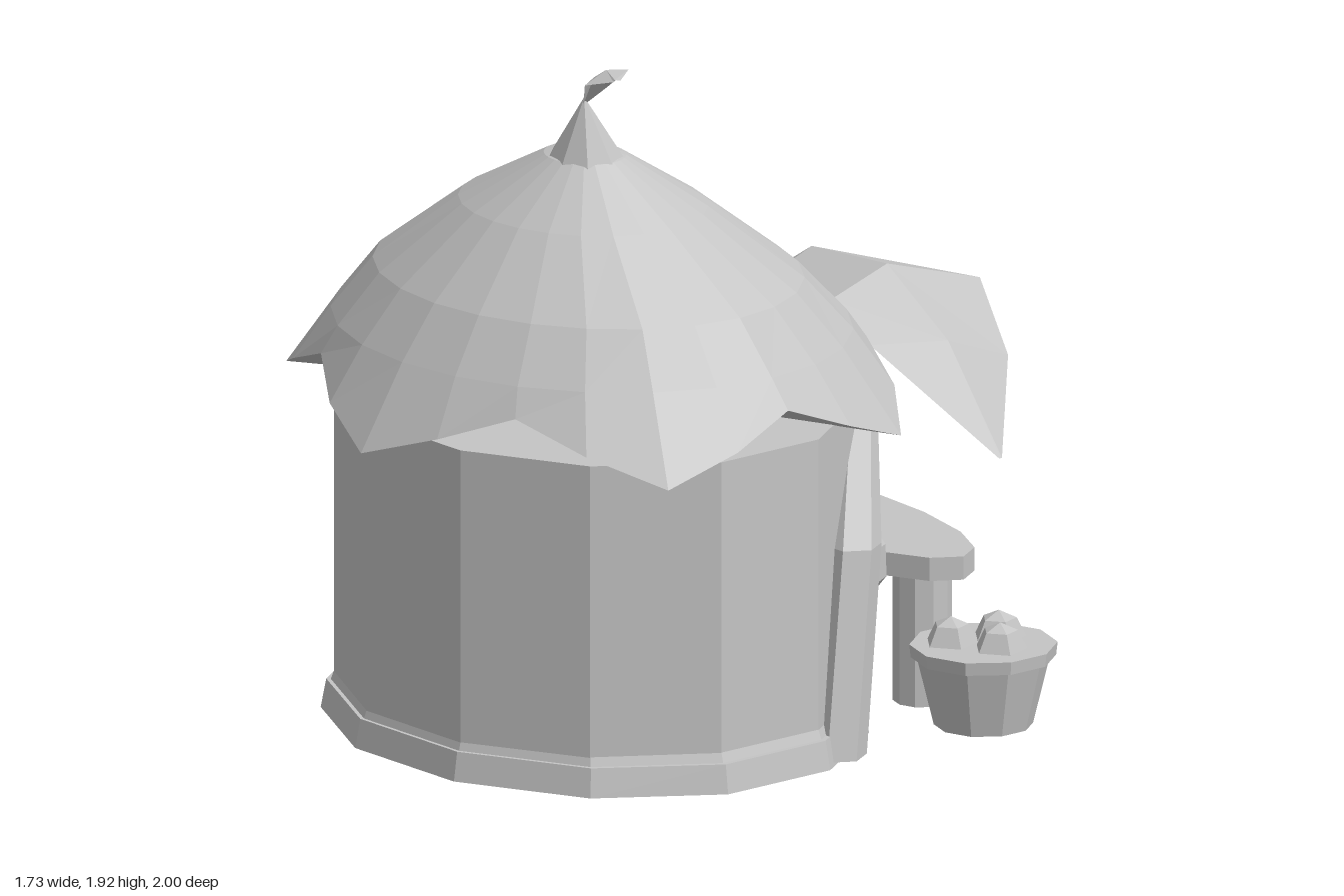
import * as THREE from 'three';

const stone = new THREE.MeshStandardMaterial({ color: 0xc4c4c4, flatShading: true, side: THREE.DoubleSide });
stone.name = 'plain grey';

function add(parent, name, geometry, x = 0, y = 0, z = 0) {
  const mesh = new THREE.Mesh(geometry, stone);
  mesh.name = name;
  mesh.position.set(x, y, z);
  parent.add(mesh);
  return mesh;
}

// Skin over rows of points; closed rows wrap around
function skin(rows, closed) {
  const n = rows[0].length, index = [];
  for (let r = 0; r < rows.length - 1; r++) {
    for (let i = 0; i < (closed ? n : n - 1); i++) {
      const j = (i + 1) % n, a = r * n + i, b = r * n + j;
      index.push(a, a + n, b, b, a + n, b + n);
    }
  }
  const g = new THREE.BufferGeometry();
  g.setAttribute('position', new THREE.Float32BufferAttribute(rows.flat(2), 3));
  g.setIndex(index);
  g.computeVertexNormals();
  return g;
}

// Horizontal ellipse of points, first point turned by `turn`
function ring(n, cx, y, cz, rx, rz, turn = 0) {
  return Array.from({ length: n }, (_, i) => {
    const a = turn + (i / n) * Math.PI * 2;
    return [cx + rx * Math.cos(a), y, cz + rz * Math.sin(a)];
  });
}

// Bent, tapering hexagonal post through [x, y, z, radius] points
function post(parent, name, points) {
  const ends = [points[0], points[points.length - 1]].map(([x, y, z]) => ring(6, x, y, z, 0, 0));
  const rows = points.map(([x, y, z, r]) => ring(6, x, y, z, r, r));
  add(parent, name, skin([ends[0], ...rows, ends[1]], true));
}

// Tapered basket with a rim and three faceted fruits
function basket(parent, name, x, y, z, r, height, fruits) {
  const g = new THREE.Group();
  g.name = name;
  g.position.set(x, y, z);
  const rim = height * 0.16;
  add(g, 'basketBody', new THREE.CylinderGeometry(r * 0.9, r * 0.67, height - rim, 10), 0, (height - rim) / 2, 0);
  add(g, 'basketRim', new THREE.CylinderGeometry(r, r * 0.98, rim, 10), 0, height - rim / 2, 0);
  const s = r * 0.37;
  for (const [fx, fz] of fruits) {
    add(g, 'fruit', new THREE.CylinderGeometry(s * 0.65, s, s * 0.7, 5), fx * r, height + s * 0.35, fz * r);
    add(g, 'fruitTop', new THREE.ConeGeometry(s * 0.65, s * 0.3, 5), fx * r, height + s * 0.85, fz * r);
  }
  parent.add(g);
}

// Pointed-arch panel for the door and its frame
function arch(half, shoulder, apex, depth) {
  const s = new THREE.Shape();
  const kneeY = shoulder + (apex - shoulder) * 0.55;
  s.moveTo(-half, 0);
  s.lineTo(half, 0);
  s.lineTo(half, shoulder);
  s.lineTo(half * 0.6, kneeY);
  s.lineTo(0, apex);
  s.lineTo(-half * 0.6, kneeY);
  s.lineTo(-half, shoulder);
  return new THREE.ExtrudeGeometry(s, { depth, bevelEnabled: false });
}

export function createModel() {
  const model = new THREE.Group();
  model.name = 'thatchedHut';
  const CX = -0.025, CZ = 0.185, turn = Math.PI / 12;

  // Twelve-sided wall with a flat lid, and a flared base hollow underneath
  add(model, 'wall', skin([
    ring(12, CX, 0.02, CZ, 0.76, 0.658, turn),
    ring(12, CX, 0.92, CZ, 0.76, 0.658, turn),
    ring(12, CX, 0.92, CZ, 0, 0, turn),
  ], true));
  add(model, 'base', skin([
    ring(12, CX, 0.12, CZ, 0, 0, turn),
    ring(12, CX, 0.12, CZ, 0.755, 0.652, turn),
    ring(12, CX, 0, CZ, 0.8, 0.69, turn),
    ring(12, CX, 0.08, CZ, 0.785, 0.675, turn),
    ring(12, CX, 0.08, CZ, 0.75, 0.65, turn),
  ], true));

  // Roof with six drooping points on its rim and a leaning peak
  const rim = ring(24, 0, 0, 0, 1, 1, Math.PI / 2).map(([x, , z], i) => {
    const k = Math.abs(((i + 2) % 4) - 2) / 2; // 0 at a point, 1 in a notch
    return [-0.03 + x * (0.925 - 0.11 * k), 0.9 + 0.15 * k, 0.185 + z * (0.815 - 0.105 * k)];
  });
  const level = (...a) => ring(24, ...a, Math.PI / 2);
  add(model, 'roof', skin([
    rim,
    level(-0.025, 1.13, 0.195, 0.755, 0.665),
    level(-0.01, 1.28, 0.22, 0.635, 0.54),
    level(0.015, 1.48, 0.26, 0.365, 0.315),
    level(0.065, 1.63, 0.295, 0.12, 0.105),
    level(0.09, 1.66, 0.31, 0, 0),
  ], true));
  // Underside folds from the rim straight to the middle
  add(model, 'roofUnderside', skin([level(-0.03, 0.925, 0.185, 0, 0), rim], true));
  add(model, 'peakCap', skin([
    ring(9, 0.075, 1.6, 0.298, 0.125, 0.115),
    ring(9, 0.11, 1.8, 0.335, 0.003, 0.003),
  ], true));

  // Curled leaf on the peak
  add(model, 'peakLeaf', skin([
    [[0.11, 1.785, 0.34], [0.11, 1.79, 0.335], [0.11, 1.785, 0.33]],
    [[0.2, 1.85, 0.41], [0.18, 1.88, 0.36], [0.17, 1.84, 0.305]],
    [[0.25, 1.89, 0.45], [0.25, 1.92, 0.375], [0.26, 1.91, 0.305]],
    [[0.34, 1.915, 0.425], [0.34, 1.92, 0.42], [0.34, 1.915, 0.4]],
  ], false));

  // Leaf awning over the counter
  add(model, 'leafAwning', skin([
    [[-0.42, 0.96, -0.67], [-0.42, 0.96, -0.665], [-0.42, 0.96, -0.66]],
    [[-0.16, 1.05, -0.88], [-0.14, 1.14, -0.67], [-0.15, 1.06, -0.48]],
    [[0.17, 1.06, -1], [0.17, 1.16, -0.675], [0.18, 1.1, -0.47]],
    [[0.42, 0.92, -0.89], [0.42, 1.0, -0.68], [0.32, 1.0, -0.49]],
    [[0.64, 0.72, -0.685], [0.64, 0.72, -0.68], [0.64, 0.72, -0.675]],
  ], false));

  // Leaning posts, a pair on the wall and one under the awning
  for (const s of [-1, 1]) {
    post(model, s < 0 ? 'rightWallPost' : 'leftWallPost', [
      [CX + s * 0.7, 0.01, -0.08, 0.08],
      [CX + s * 0.645, 0.57, -0.18, 0.078],
      [CX + s * 0.465, 0.95, -0.35, 0.05],
    ]);
    // Hanging lanterns
    const x = CX + s * 0.595;
    add(model, 'lantern', skin([
      [0.41, 0], [0.41, 0.025], [0.45, 0.058], [0.54, 0.055], [0.57, 0.035], [0.62, 0.028], [0.62, 0],
    ].map(([y, r]) => ring(6, x, y, -0.265, r, r)), true));
  }
  post(model, 'awningPost', [
    [-0.775, 0, -0.6, 0.065], [-0.76, 0.64, -0.605, 0.07], [-0.44, 0.96, -0.68, 0.06],
  ]);

  // Counter on two round legs
  const top = add(model, 'counterTop', new THREE.CylinderGeometry(1, 1, 0.065, 16), -0.09, 0.4, -0.63);
  top.scale.set(0.635, 1, 0.205);
  for (const x of [-0.6, 0.39]) {
    add(model, 'counterLeg', new THREE.CylinderGeometry(0.08, 0.08, 0.37, 10), x, 0.185, -0.615);
  }

  // Baskets of fruit
  const fruits = [[-0.3, 0.32], [0.35, 0], [-0.12, -0.37]];
  basket(model, 'groundBasket', 0.67, 0, -0.595, 0.2, 0.225, fruits);
  basket(model, 'counterBasket', -0.45, 0.43, -0.61, 0.125, 0.14, fruits);

  // Pointed door with frame, knob and curved step on the back
  add(model, 'doorFrame', arch(0.22, 0.46, 0.72, 0.05), 0, 0.02, -0.456);
  add(model, 'door', arch(0.15, 0.4, 0.57, 0.05), 0, 0.02, -0.461);
  add(model, 'doorKnob', new THREE.IcosahedronGeometry(0.013), 0.07, 0.28, -0.464);
  const step = add(model, 'step', new THREE.CylinderGeometry(1, 1, 0.07, 12), 0, 0.035, -0.46);
  step.scale.set(0.29, 1, 0.13);

  return model;
}
